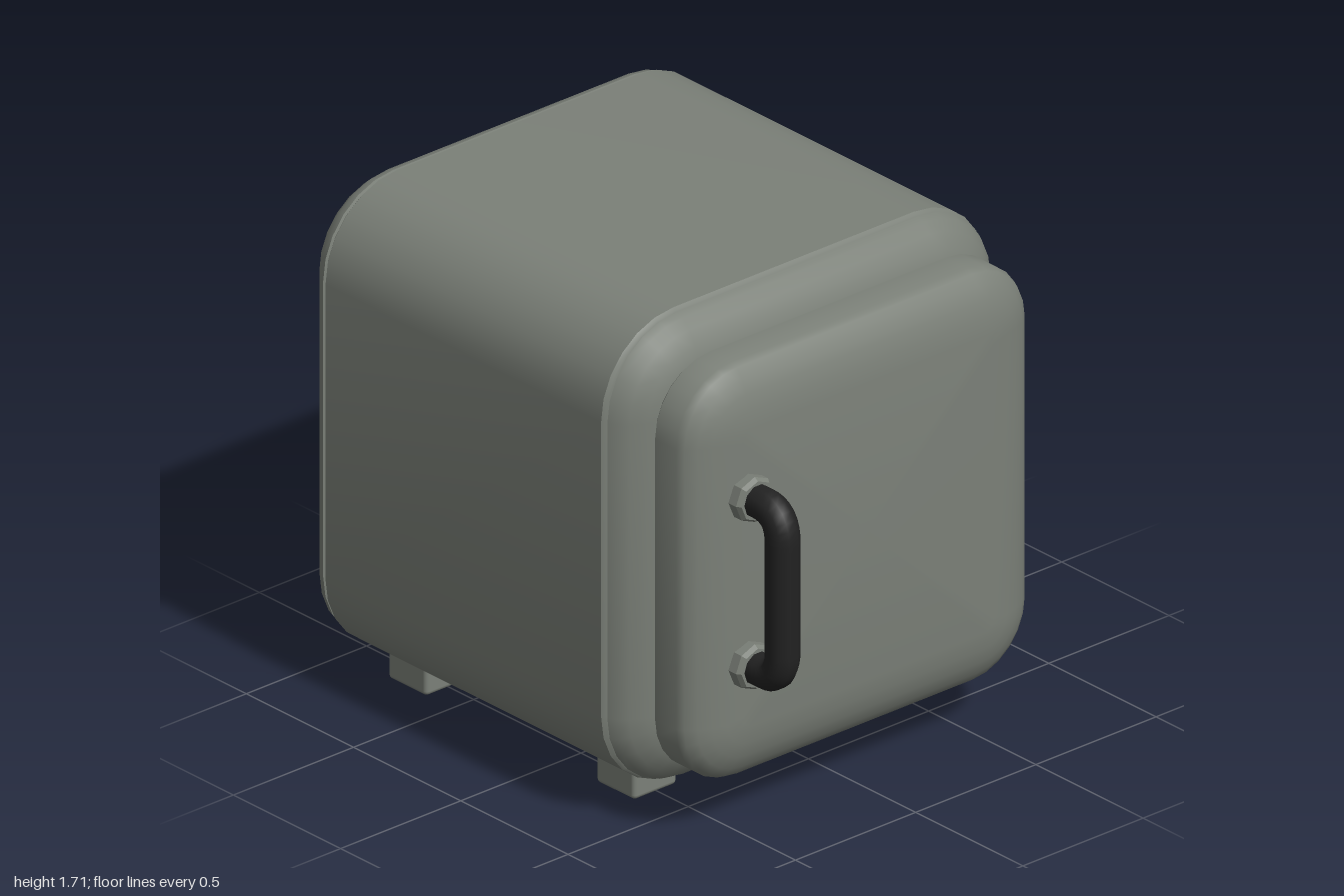
import * as THREE from 'three';
import { toCreasedNormals } from 'three/addons/utils/BufferGeometryUtils.js';
import { RoundedBoxGeometry } from 'three/addons/geometries/RoundedBoxGeometry.js';

const CENTRE_Y = 0.895;

// Rounded-rectangle rings in the y-z plane, lofted along x; sections are [x, inset]
function loft(halfY, halfZ, radius, sections, steps = 6) {
  const pos = [], index = [];
  const n = 4 * (steps + 1);
  for (const [x, inset] of sections) {
    const r = Math.max(radius - inset, 0.04);
    const cy = halfY - inset - r, cz = halfZ - inset - r;
    for (let q = 0; q < 4; q++) {
      const sy = q === 0 || q === 3 ? 1 : -1, sz = q < 2 ? 1 : -1;
      for (let k = 0; k <= steps; k++) {
        const a = (q + k / steps) * Math.PI / 2;
        pos.push(x, CENTRE_Y + sy * cy + r * Math.cos(a), sz * cz + r * Math.sin(a));
      }
    }
  }
  const last = sections.length - 1;
  for (let i = 0; i < last; i++) {
    for (let j = 0; j < n; j++) {
      const a = i * n + j, b = i * n + (j + 1) % n;
      index.push(a, b, a + n, b, b + n, a + n);
    }
  }
  // end caps
  const c0 = pos.length / 3;
  pos.push(sections[0][0], CENTRE_Y, 0, sections[last][0], CENTRE_Y, 0);
  for (let j = 0; j < n; j++) {
    const k = (j + 1) % n;
    index.push(c0, k, j, c0 + 1, last * n + j, last * n + k);
  }
  const g = new THREE.BufferGeometry();
  g.setAttribute('position', new THREE.Float32BufferAttribute(pos, 3));
  g.setIndex(index);
  return toCreasedNormals(g, 0.65);
}

export function createModel() {
  const model = new THREE.Group();
  const grey = new THREE.MeshStandardMaterial({ color: 0x7b8078 });
  grey.name = 'greyEnamel';
  const black = new THREE.MeshStandardMaterial({ color: 0x222222 });
  black.name = 'blackRubber';

  const add = (name, geometry, material, x = 0, y = 0, z = 0, parent = model) => {
    const mesh = new THREE.Mesh(geometry, material);
    mesh.name = name;
    mesh.position.set(x, y, z);
    parent.add(mesh);
    return mesh;
  };

  // Cabinet: rounded back cap, groove, main shell, groove, rounded door rim
  add('cabinet', loft(0.81, 0.8, 0.3, [
    [-1, 0.27], [-0.99, 0.18], [-0.97, 0.105], [-0.94, 0.05], [-0.9, 0.015], [-0.875, 0.008],
    [-0.87, 0.02], [-0.863, 0.008], [-0.855, 0],
    [0.43, 0], [0.438, 0.008], [0.443, 0.02], [0.45, 0.008],
    [0.475, 0.02], [0.505, 0.05], [0.535, 0.1], [0.553, 0.15], [0.557, 0.19], [0.545, 0.21],
  ]), grey);

  // Gasket in the gap
  add('doorGasket', loft(0.63, 0.63, 0.2, [[0.5, 0], [0.585, 0]]), black);

  // Door with a soft front edge
  add('door', loft(0.715, 0.72, 0.23, [
    [0.577, 0.03], [0.58, 0.012], [0.592, 0], [0.69, 0], [0.715, 0.012],
    [0.74, 0.045], [0.76, 0.09], [0.773, 0.14], [0.78, 0.2],
  ]), grey);

  // Handle
  const handle = new THREE.Group();
  handle.name = 'handle';
  model.add(handle);
  const path = new THREE.CurvePath();
  const v = (x, y) => new THREE.Vector3(x, y, 0.5);
  path.add(new THREE.LineCurve3(v(0.81, 1.18), v(0.85, 1.18)));
  path.add(new THREE.QuadraticBezierCurve3(v(0.85, 1.18), v(0.94, 1.18), v(0.94, 1.08)));
  path.add(new THREE.LineCurve3(v(0.94, 1.08), v(0.94, 0.7)));
  path.add(new THREE.QuadraticBezierCurve3(v(0.94, 0.7), v(0.94, 0.6), v(0.85, 0.6)));
  path.add(new THREE.LineCurve3(v(0.85, 0.6), v(0.81, 0.6)));
  add('handleGrip', new THREE.TubeGeometry(path, 40, 0.056, 10), black, 0, 0, 0, handle);
  const collar = toCreasedNormals(new THREE.LatheGeometry([
    [0.078, 0], [0.078, 0.035], [0.068, 0.05], [0, 0.05],
  ].map(([r, h]) => new THREE.Vector2(r, h)), 8), 0.5);
  for (const y of [0.6, 1.18]) {
    add('handleMount', collar, grey, 0.775, y, 0.5, handle).rotation.z = -Math.PI / 2;
  }

  // Hinges: one leaf on the rim, one on the door edge, knuckle between
  const leaf = new RoundedBoxGeometry(0.095, 0.28, 0.012, 1, 0.004);
  const knuckle = new THREE.CylinderGeometry(0.016, 0.016, 0.28, 10);
  const screw = new THREE.CylinderGeometry(0.015, 0.018, 0.01, 6);
  for (const y of [0.525, 1.27]) {
    const hinge = new THREE.Group();
    hinge.name = 'hinge';
    hinge.position.set(0.562, y, -0.732);
    model.add(hinge);
    add('hingeKnuckle', knuckle, grey, 0, 0, 0, hinge);
    for (const [side, angle] of [[-1, -0.75], [1, 0]]) {
      const wing = new THREE.Group();
      wing.name = side < 0 ? 'rimLeaf' : 'doorLeaf';
      wing.rotation.y = angle;
      hinge.add(wing);
      add('hingeLeaf', leaf, grey, side * 0.05, 0, 0, wing);
      for (const dy of [-0.085, 0.085]) {
        add('hingeScrew', screw, grey, side * 0.058, dy, -0.009, wing).rotation.x = -Math.PI / 2;
      }
    }
  }

  // Feet
  const foot = new RoundedBoxGeometry(0.18, 0.12, 0.18, 2, 0.015);
  for (const x of [-0.7, 0.27]) {
    for (const z of [-0.51, 0.51]) add('foot', foot, grey, x, 0.06, z);
  }
  return model;
}
